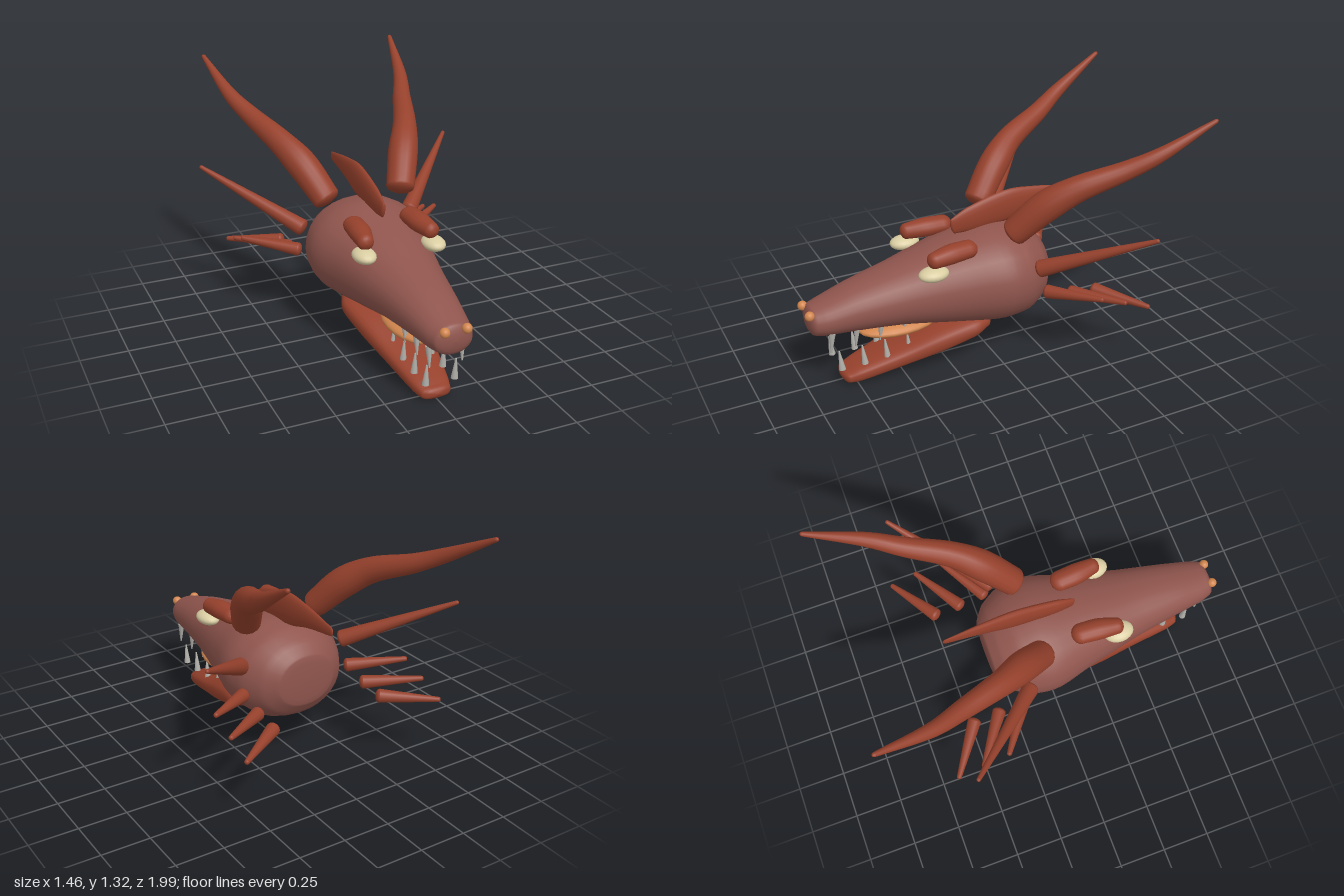
import * as THREE from 'three';

const material = (name, color) => {
  const m = new THREE.MeshStandardMaterial({ color });
  m.name = name;
  return m;
};

// Closed loft through sections [x, y, z, rx, ry] with domed ends of the given lengths.
// power > 2 makes the cross-section squarer; planar keeps every ring facing z.
function loft(sections, { caps = [0.02, 0.01], sides = 16, steps = 20, power = 2, planar = false } = {}) {
  const path = new THREE.CatmullRomCurve3(sections.map(s => new THREE.Vector3(s[0], s[1], s[2])));
  const size = new THREE.CatmullRomCurve3(sections.map(s => new THREE.Vector3(s[3], s[4], 0)));
  const rings = [];
  const addRing = (u, shift, scale) => {
    const t = planar ? new THREE.Vector3(0, 0, 1) : path.getTangent(u);
    const r = size.getPoint(u);
    rings.push({ c: path.getPoint(u).addScaledVector(t, shift), t, rx: r.x * scale, ry: r.y * scale });
  };
  const dome = [0.02, 0.4, 0.8, 1.2];
  dome.forEach(a => addRing(0, -caps[0] * Math.cos(a), Math.sin(a)));
  for (let i = 0; i <= steps; i++) addRing(i / steps, 0, 1);
  dome.slice().reverse().forEach(a => addRing(1, caps[1] * Math.cos(a), Math.sin(a)));

  const pos = [], index = [];
  const bend = v => Math.sign(v) * Math.pow(Math.abs(v), 2 / power);
  for (const { c, t, rx, ry } of rings) {
    const side = new THREE.Vector3(0, 1, 0).cross(t).normalize();
    const up = t.clone().cross(side);
    for (let j = 0; j < sides; j++) {
      const a = (j / sides) * Math.PI * 2;
      const p = c.clone().addScaledVector(side, rx * bend(Math.cos(a))).addScaledVector(up, ry * bend(Math.sin(a)));
      pos.push(p.x, p.y, p.z);
    }
  }
  for (let i = 0; i < rings.length - 1; i++) {
    for (let j = 0; j < sides; j++) {
      const k = (j + 1) % sides, a = i * sides, b = a + sides;
      index.push(a + j, a + k, b + k, a + j, b + k, b + j);
    }
  }
  // Close the tiny end rings
  const last = (rings.length - 1) * sides;
  for (let j = 1; j < sides - 1; j++) index.push(0, j + 1, j, last, last + j, last + j + 1);
  const g = new THREE.BufferGeometry();
  g.setAttribute('position', new THREE.Float32BufferAttribute(pos, 3));
  g.setIndex(index);
  g.computeVertexNormals();
  return g;
}

export function createModel() {
  const group = new THREE.Group();
  const hide = material('hide', 0x8f554d);
  const horn = material('horn', 0x96412c);
  const orange = material('orange flesh', 0xd2864e);
  const ivory = material('eye ivory', 0xd9cda2);
  const tooth = material('tooth grey', 0xb2b0aa);

  const add = (name, geometry, mat, x = 0, y = 0, z = 0) => {
    const mesh = new THREE.Mesh(geometry, mat);
    mesh.name = name;
    mesh.position.set(x, y, z);
    group.add(mesh);
    return mesh;
  };
  const ellipsoid = (rx, ry, rz) => new THREE.SphereGeometry(1, 20, 14).scale(rx, ry, rz);

  // Skull tapering into the snout
  add('head', loft([
    [0, 0.47, -0.30, 0.17, 0.14], [0, 0.465, -0.25, 0.24, 0.20], [0, 0.465, -0.15, 0.30, 0.25],
    [0, 0.47, -0.03, 0.318, 0.26], [0, 0.463, 0.2, 0.262, 0.225], [0, 0.45, 0.5, 0.19, 0.16],
    [0, 0.432, 0.75, 0.145, 0.118], [0, 0.413, 0.9, 0.117, 0.09], [0, 0.41, 0.95, 0.10, 0.078],
  ], { caps: [0.015, 0.03], sides: 28, steps: 40, power: 2.1, planar: true }), hide);

  // Dropped lower jaw, broad at the hinge
  add('lowerJaw', loft([
    [0, 0.24, 0.05, 0.18, 0.04], [0, 0.225, 0.14, 0.21, 0.063], [0, 0.178, 0.3, 0.185, 0.07],
    [0, 0.115, 0.5, 0.14, 0.056], [0, 0.053, 0.74, 0.095, 0.042], [0, 0.043, 0.79, 0.08, 0.032],
  ], { caps: [0.025, 0.03], sides: 28, steps: 24, power: 2.8, planar: true }), horn);

  add('tongue', ellipsoid(0.12, 0.042, 0.22), orange, 0, 0.268, 0.49);

  // Thin crest blade along the middle of the skull
  add('crest', loft([
    [0, 0.75, 0.17, 0.012, 0.045], [0, 0.77, 0.08, 0.024, 0.07], [0, 0.805, -0.13, 0.028, 0.088],
    [0, 0.82, -0.3, 0.02, 0.06], [0, 0.818, -0.5, 0.007, 0.025],
  ], { caps: [0.015, 0.02] }), horn);

  for (const s of [1, -1]) {
    const side = s > 0 ? 'left' : 'right';
    const spike = (name, sections, options) =>
      add(side + name, loft(sections.map(([x, ...rest]) => [s * x, ...rest]), options), horn);

    // Long swept horn
    spike('Horn', [
      [0.21, 0.76, -0.07, 0.075, 0.07], [0.285, 0.905, -0.2, 0.08, 0.08], [0.355, 1.0, -0.33, 0.065, 0.068],
      [0.44, 1.09, -0.55, 0.05, 0.05], [0.50, 1.165, -0.7, 0.038, 0.038], [0.562, 1.32, -0.98, 0.012, 0.012],
    ], { caps: [0.03, 0.015], steps: 30 });

    // Cheek spike and the three small frill spikes behind it
    spike('CheekSpike', [[0.31, 0.575, -0.17, 0.045, 0.045], [0.72, 0.832, -0.58, 0.011, 0.011]]);
    [[0.435, -0.21, 0.475, -0.38], [0.395, -0.35, 0.42, -0.52], [0.376, -0.49, 0.36, -0.66]]
      .forEach(([y0, z0, y1, z1], i) => spike('Frill' + (i + 1),
        [[0.32, y0, z0, 0.036, 0.036], [0.57, y1, z1, 0.013, 0.013]]));

    // Brow ridge over the eye
    spike('Brow', [[0.155, 0.692, 0.16, 0.055, 0.045], [0.162, 0.69, 0.25, 0.057, 0.049],
      [0.178, 0.682, 0.36, 0.042, 0.042]], { caps: [0.045, 0.03] });

    add(side + 'Eye', ellipsoid(0.058, 0.036, 0.08), ivory, s * 0.188, 0.615, 0.365);
    add(side + 'Nostril', ellipsoid(0.025, 0.025, 0.025), orange, s * 0.057, 0.463, 0.973);

    // Upper teeth point down, lower teeth point up
    for (let i = 0; i < 4; i++) {
      const cone = () => new THREE.CylinderGeometry(0.004, 0.018, 0.11, 10);
      const upper = add(side + 'UpperTooth' + (i + 1), cone(), tooth, s * 0.086, 0.3, 0.88 - i * 0.13);
      upper.rotation.x = Math.PI - 0.1;
      const lower = add(side + 'LowerTooth' + (i + 1), cone(), tooth, s * 0.077, 0.178, 0.837 - i * 0.123);
      lower.rotation.x = 0.1;
    }
  }
  return group;
}
